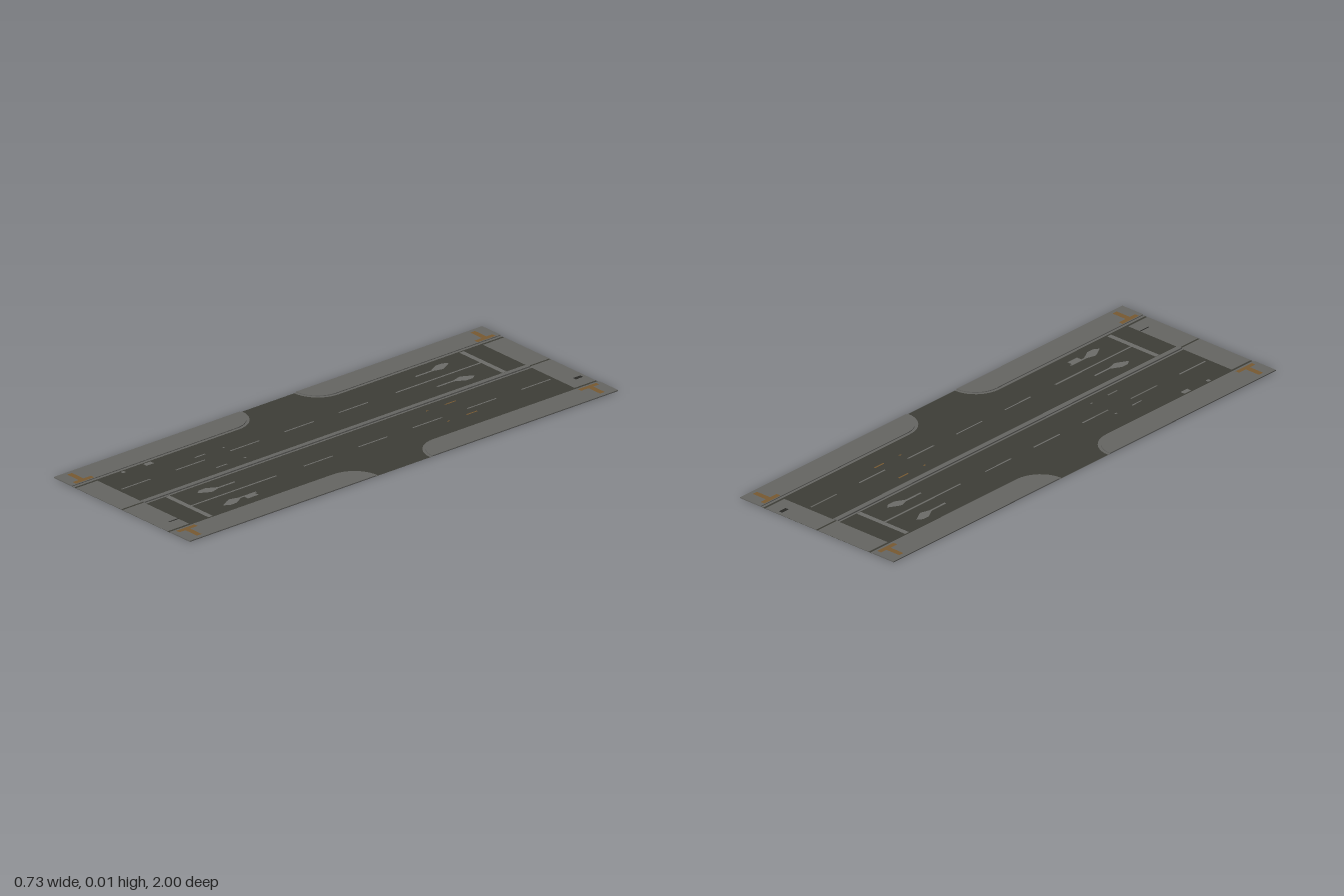
import * as THREE from 'three';

const HALF_W = 0.367, ROAD_X = 0.267, ARC_Z = 0.232;

const flat = (name, color) => Object.assign(new THREE.MeshStandardMaterial({ color }), { name });

// quarter-round street corner, from the inner kerb line to the outer edge
function cornerArc(inner) {
  const r = HALF_W - inner, pts = [];
  for (let i = 0; i <= 10; i++) {
    const a = (i / 10) * Math.PI / 2;
    pts.push([HALF_W - r * Math.cos(a), ARC_Z - r * Math.sin(a)]);
  }
  return pts;
}

// shape from [x, z] points, to be laid flat
const groundShape = (pts) => new THREE.Shape(pts.map(([x, z]) => new THREE.Vector2(x, -z)));

export function createModel() {
  const group = new THREE.Group();
  const asphalt = flat('asphalt', 0x3e3e37);
  asphalt.side = THREE.DoubleSide;
  const concrete = flat('concrete', 0x666663);
  const paint = flat('road paint', 0x6c6c69);
  const tactile = flat('tactile orange', 0x785a32);
  const dark = flat('dark joint', 0x2a2a27);

  const add = (name, geometry, material, parent = group) => {
    const mesh = new THREE.Mesh(geometry, material);
    mesh.name = name;
    parent.add(mesh);
    return mesh;
  };
  const plate = (name, pts, y, material, parent) => {
    const g = new THREE.ShapeGeometry(groundShape(pts));
    g.rotateX(-Math.PI / 2).translate(0, y, 0);
    return add(name, g, material, parent);
  };
  const rect = (name, x0, x1, z0, z1, y, material, parent) =>
    plate(name, [[x0, z0], [x1, z0], [x1, z1], [x0, z1]], y, material, parent);

  // roadway with the side street openings
  const arc = cornerArc(ROAD_X);
  const quarter = [[ROAD_X, 1], ...arc];
  const flip = (pts, sx, sz) => pts.map(([x, z]) => [x * sx, z * sz]);
  plate('roadway', [
    ...quarter, ...flip(quarter, 1, -1).reverse(),
    ...flip(quarter, -1, -1), ...flip(quarter, -1, 1).reverse(),
  ], 0, asphalt);

  // four sidewalks with gutters and tactile paving
  for (const sx of [-1, 1]) for (const sz of [-1, 1]) {
    const outline = (inner) => flip([[HALF_W, 1], [inner, 1], ...cornerArc(inner)], sx, sz);
    const walk = new THREE.ExtrudeGeometry(groundShape(outline(ROAD_X)),
      { depth: 0.004, bevelEnabled: false });
    add('sidewalk', walk.rotateX(-Math.PI / 2), concrete);
    plate('gutter', outline(0.256), 0.001, concrete);
    const pad = (x0, x1, z0, z1) =>
      rect('tactilePaving', sx * x0, sx * x1, sz * z0, sz * z1, 0.0048, tactile);
    pad(0.27, 0.288, 0.895, 0.98);
    pad(0.288, 0.35, 0.93, 0.952);
  }

  // crosswalk pavement at both ends, split by a centre joint
  for (const sz of [-1, 1]) for (const sx of [-1, 1])
    rect('crosswalk', sx * 0.004, sx * 0.247, sz * 0.9, sz, 0.001, concrete);

  // raised median on its base strip
  rect('medianBase', -0.017, 0.017, -0.9, 0.9, 0.0012, concrete);
  add('median', new THREE.BoxGeometry(0.018, 0.005, 1.8).translate(0, 0.0035, 0), concrete);

  // lane markings, the same for both directions after a half turn
  for (const turn of [0, Math.PI]) {
    const lanes = new THREE.Group();
    lanes.name = 'laneMarkings';
    lanes.rotation.y = turn;
    group.add(lanes);
    const y = 0.0012;
    rect('stopLine', -0.25, -0.018, -0.812, -0.792, y, paint, lanes);
    rect('solidLine', -0.138, -0.131, -0.792, -0.395, y, paint, lanes);
    for (let i = 0; i < 5; i++) {
      const z = -0.267 + i * 0.254;
      rect('laneDash', -0.138, -0.132, z, z + 0.136, y, paint, lanes);
    }
    // turn arrows
    for (const [x, s] of [[-0.194, -1], [-0.078, 1]]) {
      const head = [[0.012, -0.705], [0.026, -0.685], [0.026, -0.655], [0.004, -0.615],
        [0.004, -0.54], [-0.004, -0.54], [-0.004, -0.62], [-0.014, -0.655], [-0.008, -0.67]];
      plate('laneArrow', head.map(([px, pz]) => [x + s * px, pz]), y, paint, lanes);
    }
    // short tick marks
    for (const x of [-0.173, -0.057]) {
      const mat = turn ? tactile : paint;
      rect('tickMark', x - 0.003, x + 0.003, 0.46, 0.51, y, mat, lanes);
      rect('tickMark', x - 0.003, x + 0.003, 0.37, 0.38, y, mat, lanes);
    }
  }

  // small covers near the kerb
  rect('drainCover', -0.25, -0.23, 0.65, 0.685, 0.0014, paint);
  rect('drainCover', -0.25, -0.236, 0.775, 0.79, 0.0014, paint);
  rect('pavementPatch', 0.195, 0.218, 0.55, 0.6, 0.0014, paint);
  rect('pavementCrack', 0.18, 0.196, -0.985, -0.95, 0.0018, dark);
  rect('pavementCrack', 0.187, 0.193, 0.9, 0.945, 0.0018, dark);
  return group;
}
